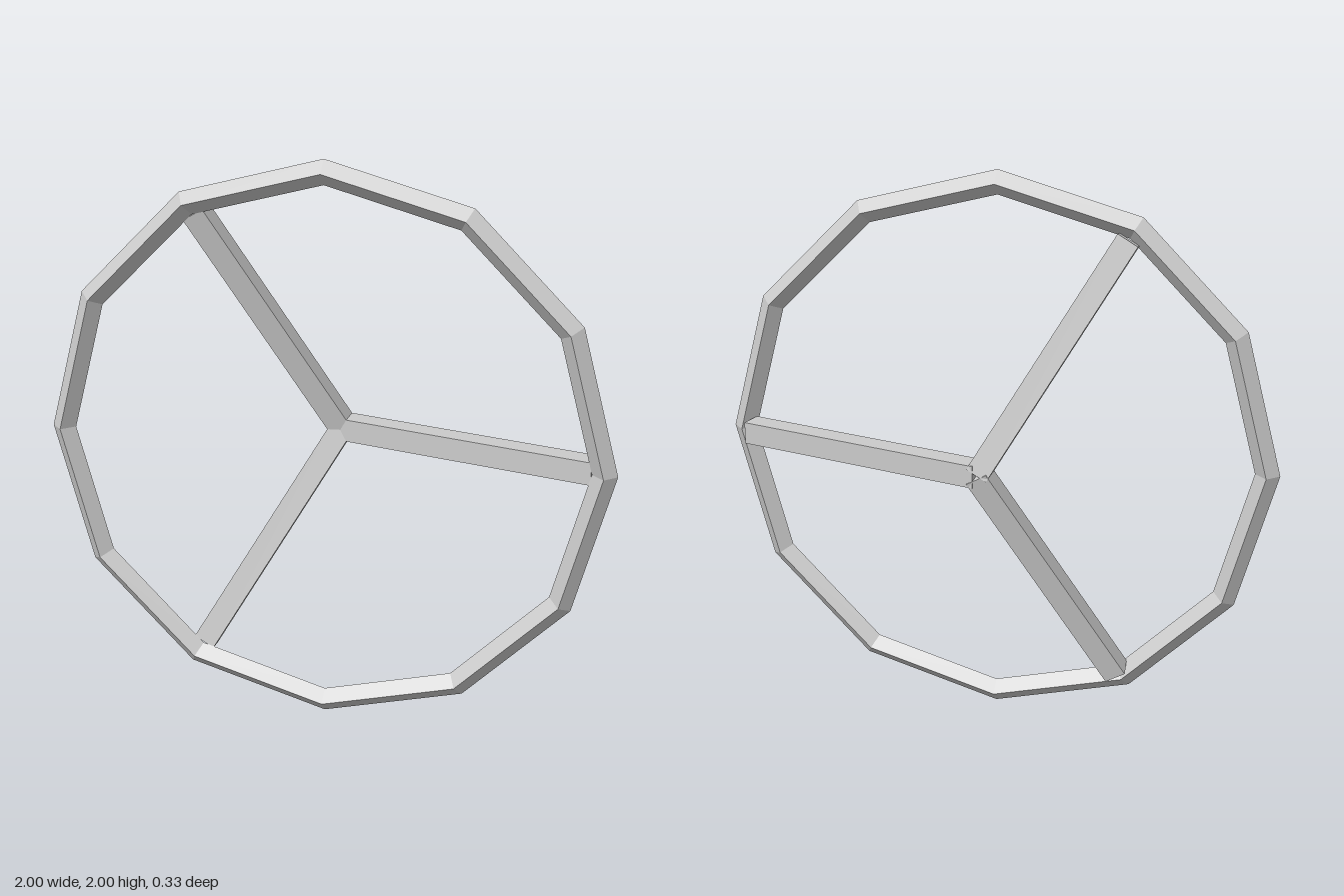
import * as THREE from 'three';

export function createModel() {
  const model = new THREE.Group();
  const material = new THREE.MeshStandardMaterial({ color: 0xcccccc, flatShading: true });

  // Twelve-sided rim with a diamond cross-section
  const rim = new THREE.Mesh(new THREE.TorusGeometry(0.957, 0.043, 4, 12), material);
  rim.name = 'rim';
  rim.position.set(0, 1, 0.125);
  model.add(rim);

  // Three square spokes, dished back from the rim to the hub point
  const spokes = new THREE.Group();
  spokes.name = 'spokes';
  spokes.position.y = 1;
  model.add(spokes);

  const reach = 0.92, hubZ = -0.127, endZ = 0.084, thickness = 0.08;
  const length = Math.hypot(reach, endZ - hubZ);
  const spokeGeometry = new THREE.BoxGeometry(length, thickness, thickness);
  for (let i = 0; i < 3; i++) {
    const arm = new THREE.Group();
    arm.name = `spoke${i + 1}`;
    arm.rotation.z = (i * Math.PI * 2) / 3;
    const bar = new THREE.Mesh(spokeGeometry, material);
    bar.name = 'spokeBar';
    bar.position.set(reach / 2, 0, (hubZ + endZ) / 2);
    bar.rotation.y = -Math.atan2(endZ - hubZ, reach);
    arm.add(bar);
    spokes.add(arm);
  }

  return model;
}
